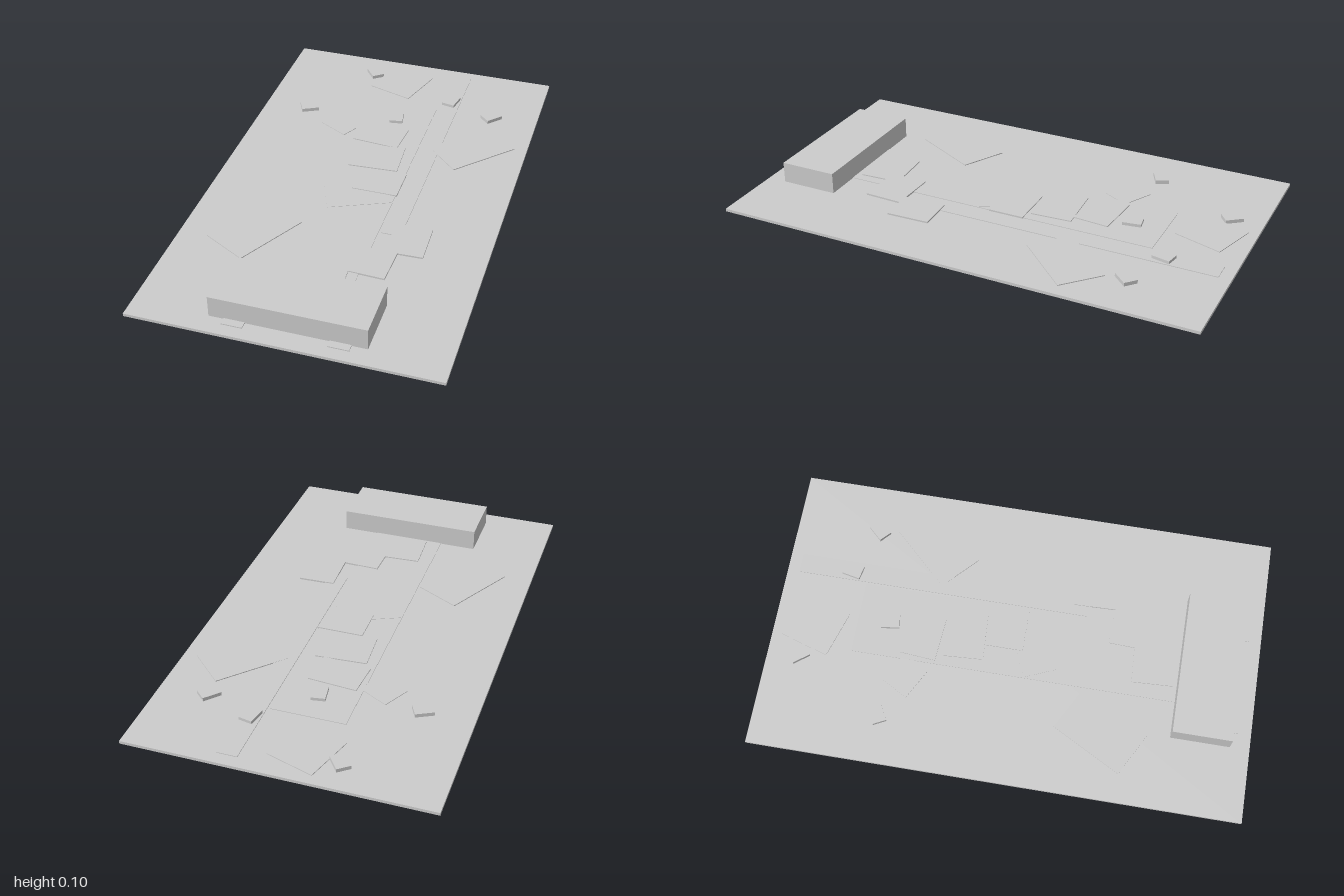
import * as THREE from 'three';

export function createModel() {
  const root = new THREE.Group();
  const grey = new THREE.MeshStandardMaterial({ color: 0xcccccc });
  grey.name = 'plain grey';

  // Box standing between two heights, turned about y
  const slab = (name, x, z, w, d, y0, y1, turn = 0) => {
    const mesh = new THREE.Mesh(new THREE.BoxGeometry(w, y1 - y0, d), grey);
    mesh.name = name;
    mesh.position.set(x, (y0 + y1) / 2, z);
    mesh.rotation.y = turn;
    root.add(mesh);
  };

  const top = 0.012; // ground surface
  slab('groundPlate', 0, 0, 1.2, 2, 0, top);

  // Large raised block and the two low pads in front of it
  slab('raisedBlock', 0, 0.8, 0.6, 0.24, top, 0.1);
  for (const side of [-1, 1]) slab('frontPad', side * 0.2, 0.915, 0.08, 0.07, top, 0.016);

  // Thin path layers
  slab('mainPath', 0, 0.02, 0.3, 1.36, top, 0.0145);
  slab('sideStrip', 0.2, -0.335, 0.08, 1.23, top, 0.0148);
  slab('rightBranch', 0.371, -0.393, 0.19, 0.31, top, 0.0155, -0.76);
  slab('leftBranch', -0.32, 0.4, 0.2, 0.32, top, 0.0155, -0.49);
  slab('backPatch', -0.06, -0.83, 0.2, 0.21, top, 0.0152, -0.3);
  slab('middlePatch', 0, 0.07, 0.26, 0.14, top, 0.0158, 0.41);
  slab('leftPatch', -0.22, -0.42, 0.14, 0.12, top, 0.0142, -0.49);

  // Stepping tiles: x, z, width, depth, turn
  [
    [-0.03, -0.38, 0.2, 0.15, -0.08],
    [0, -0.21, 0.21, 0.17, 0.06],
    [0.06, -0.04, 0.19, 0.15, 0],
    [0.28, 0.3, 0.15, 0.18, 0.03],
    [0.155, 0.465, 0.2, 0.16, -0.04],
    [0.01, 0.575, 0.2, 0.17, 0.05],
  ].forEach(([x, z, w, d, turn], i) =>
    slab('steppingTile', x, z, w, d, top, 0.0185 + i * 0.0001, turn));

  // Small scattered blocks: x, z, turn
  [
    [-0.2, -0.87, 0.65],
    [0.2, -0.725, -0.2],
    [0.4, -0.65, -0.75],
    [-0.4, -0.5, -1.1],
    [0, -0.525, 0.15],
  ].forEach(([x, z, turn]) => slab('smallBlock', x, z, 0.056, 0.076, top, 0.027, turn));

  return root;
}
